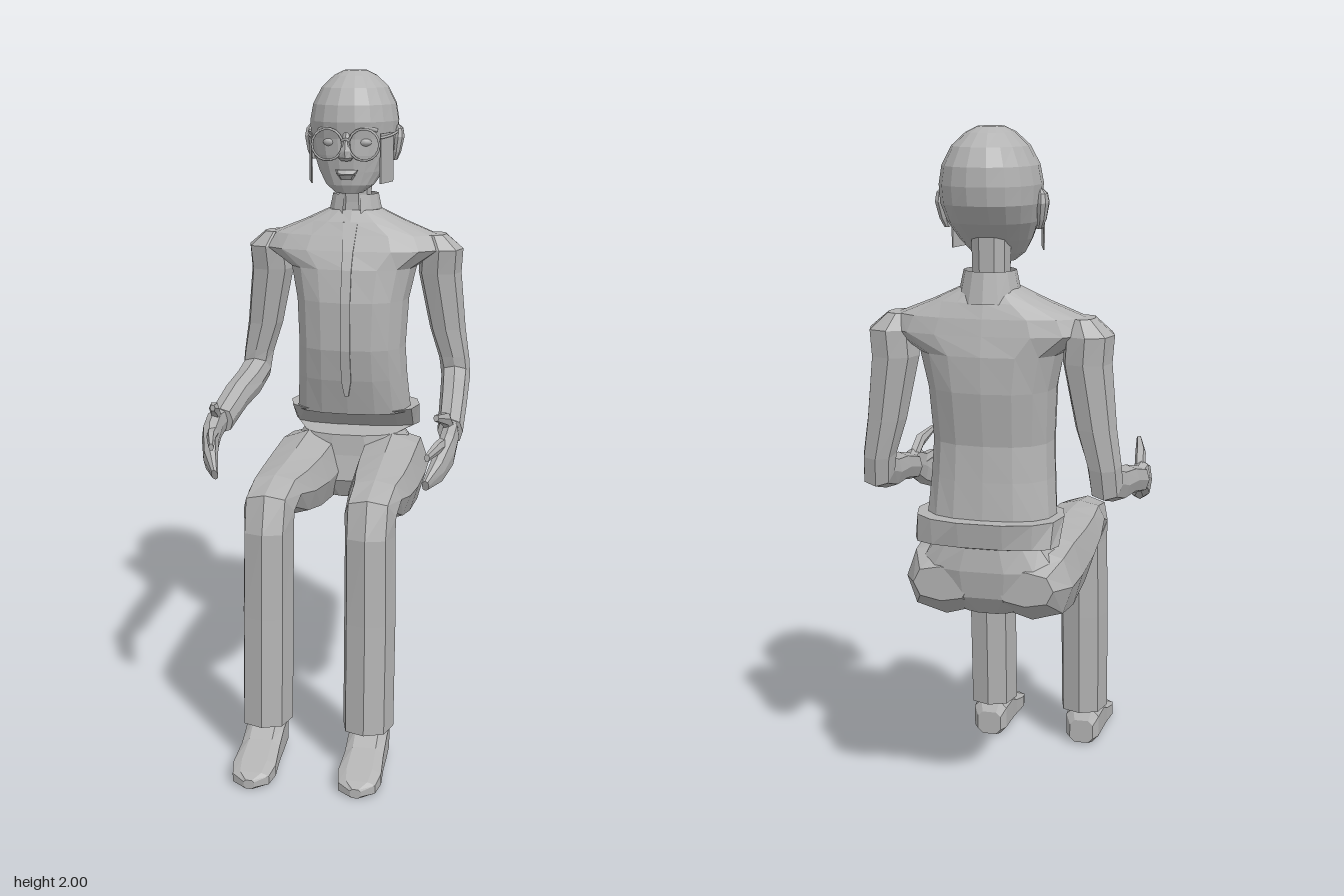
import * as THREE from 'three';

const cloth = new THREE.MeshStandardMaterial({ color: 0xb3b3b3 });
cloth.name = 'plain grey';
const sheet = cloth.clone();
sheet.name = 'plain grey sheet';
sheet.side = THREE.DoubleSide;

// Cross-section: squarish ellipse, rw across x and rd along a direction tilted from +z towards +y
function ring([x, y, z, rw, rd, tilt = 0], n, power, shift) {
  const t = THREE.MathUtils.degToRad(tilt);
  const bend = v => Math.sign(v) * Math.pow(Math.abs(v), power);
  return Array.from({ length: n }, (_, i) => {
    const a = ((i + shift) / n) * Math.PI * 2;
    const c = bend(Math.cos(a)) * rw, s = bend(Math.sin(a)) * rd;
    return new THREE.Vector3(x + c, y + s * Math.sin(t), z + s * Math.cos(t));
  });
}

// Closed, flat-shaded skin through a list of cross-sections
function loft(sections, { n = 8, power = 0.8, shift = 0 } = {}) {
  const rings = sections.map(s => ring(s, n, power, shift));
  const tris = [];
  for (let k = 0; k < rings.length - 1; k++) {
    for (let i = 0; i < n; i++) {
      const j = (i + 1) % n, a = rings[k], b = rings[k + 1];
      tris.push([a[i], b[i], b[j]], [a[i], b[j], a[j]]);
    }
  }
  [0, rings.length - 1].forEach((k, end) => {
    const mid = new THREE.Vector3(...sections[k].slice(0, 3));
    for (let i = 0; i < n; i++) {
      const p = rings[k][i], q = rings[k][(i + 1) % n];
      tris.push(end ? [mid, q, p] : [mid, p, q]);
    }
  });
  // Turn the skin outwards
  const origin = new THREE.Vector3(...sections[0].slice(0, 3));
  let volume = 0;
  for (const [a, b, c] of tris) {
    const u = b.clone().sub(origin).cross(c.clone().sub(origin));
    volume += a.clone().sub(origin).dot(u);
  }
  if (volume < 0) tris.forEach(t => t.reverse());
  const geo = new THREE.BufferGeometry().setFromPoints(tris.flat());
  geo.computeVertexNormals();
  return geo;
}

export function createModel() {
  const model = new THREE.Group();
  model.name = 'seatedMan';
  const add = (name, geo, mat = cloth) => {
    const mesh = new THREE.Mesh(geo, mat);
    mesh.name = name;
    model.add(mesh);
    return mesh;
  };
  const both = fn => [['left', 1], ['right', -1]].forEach(([side, s]) => fn(side, s));
  const flip = (s, list) => list.map(([x, ...rest]) => [x * s, ...rest]);
  const rod = (name, points, r) =>
    add(name, new THREE.TubeGeometry(new THREE.CatmullRomCurve3(points.map(p => new THREE.Vector3(...p))), 8, r, 5));

  // Head and neck
  add('head', loft([
    [0, 2.0, -0.355, 0.035, 0.05], [0, 1.985, -0.355, 0.065, 0.09], [0, 1.95, -0.355, 0.102, 0.135],
    [0, 1.9, -0.353, 0.128, 0.162], [0, 1.85, -0.35, 0.137, 0.168], [0, 1.8, -0.35, 0.134, 0.158],
    [0, 1.75, -0.33, 0.122, 0.138], [0, 1.7, -0.298, 0.1, 0.1], [0, 1.66, -0.27, 0.075, 0.068],
    [0, 1.635, -0.255, 0.042, 0.04],
  ], { n: 18, power: 0.92 }));
  add('neck', loft([
    [0, 1.5, -0.365, 0.06, 0.07], [0, 1.6, -0.355, 0.052, 0.055], [0, 1.75, -0.355, 0.055, 0.062],
  ], { n: 10 }));

  // Face
  add('nose', loft([
    [0, 1.82, -0.2, 0.01, 0.012], [0, 1.765, -0.188, 0.016, 0.022], [0, 1.745, -0.19, 0.024, 0.02],
    [0, 1.735, -0.196, 0.016, 0.012],
  ], { n: 6, shift: 0.5 }));
  add('upperLip', loft([[0, 1.708, -0.198, 0.035, 0.008], [0, 1.696, -0.196, 0.03, 0.016]], { n: 8 }));
  add('lowerLip', loft([[0, 1.693, -0.198, 0.028, 0.014], [0, 1.678, -0.202, 0.018, 0.008]], { n: 8 }));
  both((side, s) => {
    const eye = add(side + 'Eye', new THREE.SphereGeometry(0.022, 10, 6));
    eye.position.set(0.053 * s, 1.79, -0.213);
    eye.scale.set(1, 0.6, 0.7);
    rod(side + 'Brow', [[0.025 * s, 1.82, -0.196], [0.055 * s, 1.835, -0.204], [0.09 * s, 1.825, -0.222]], 0.006);
    add(side + 'Ear', loft(flip(s, [
      [0.128, 1.73, -0.335, 0.008, 0.012], [0.135, 1.755, -0.338, 0.012, 0.024],
      [0.141, 1.8, -0.345, 0.015, 0.034], [0.14, 1.825, -0.347, 0.012, 0.026], [0.134, 1.837, -0.347, 0.006, 0.01],
    ])));

    // Spectacles with square side guards
    const rim = add(side + 'Rim', new THREE.TorusGeometry(0.047, 0.004, 5, 18));
    rim.position.set(0.056 * s, 1.785, -0.181);
    rod(side + 'Temple', [[0.104 * s, 1.805, -0.182], [0.128 * s, 1.81, -0.26], [0.14 * s, 1.82, -0.345]], 0.004);
    const guard = add(side + 'Guard', new THREE.BoxGeometry(0.004, 0.15, 0.095));
    guard.position.set(0.117 * s, 1.743, -0.237);
    guard.rotation.y = -0.26 * s;
  });
  rod('bridge', [[-0.012, 1.795, -0.18], [0, 1.802, -0.176], [0.012, 1.795, -0.18]], 0.004);

  // Shirt
  add('shirt', loft([
    [0, 0.935, -0.355, 0.185, 0.12], [0, 1.05, -0.333, 0.175, 0.133], [0, 1.15, -0.32, 0.17, 0.14],
    [0, 1.3, -0.333, 0.178, 0.152], [0, 1.4, -0.344, 0.2, 0.143], [0, 1.455, -0.35, 0.285, 0.125],
    [0, 1.5, -0.357, 0.26, 0.108], [0, 1.54, -0.36, 0.16, 0.09], [0, 1.575, -0.362, 0.085, 0.066],
  ], { n: 16 }));
  add('placket', loft([
    [0, 1.0, -0.21, 0.008, 0.008], [0, 1.05, -0.2, 0.02, 0.006], [0, 1.15, -0.18, 0.02, 0.006],
    [0, 1.3, -0.181, 0.02, 0.006], [0, 1.4, -0.201, 0.02, 0.006], [0, 1.455, -0.225, 0.022, 0.006],
    [0, 1.54, -0.272, 0.03, 0.006],
  ], { n: 4, shift: 0.5 }));
  const collarGeo = new THREE.CylinderGeometry(0.072, 0.09, 0.085, 12, 1, true, 0.35, Math.PI * 2 - 0.7).toNonIndexed();
  collarGeo.computeVertexNormals();
  const collar = add('collar', collarGeo, sheet);
  collar.position.set(0, 1.58, -0.37);

  // Trouser seat with a waist that flares over the lap
  add('trouserSeat', loft([
    [0, 0.945, -0.375, 0.21, 0.14], [0, 0.872, -0.425, 0.205, 0.075], [0, 0.866, -0.36, 0.16, 0.125],
    [0, 0.8, -0.36, 0.21, 0.13], [0, 0.72, -0.345, 0.19, 0.13], [0, 0.66, -0.335, 0.09, 0.09],
  ], { n: 14 }));

  both((side, s) => {
    // Leg from hip over the knee to the hem
    add(side + 'TrouserLeg', loft(flip(s, [
      [0.12, 0.755, -0.475, 0.08, 0.05, 90], [0.125, 0.748, -0.4, 0.115, 0.105, 90],
      [0.135, 0.746, -0.28, 0.11, 0.121, 90], [0.14, 0.75, -0.1, 0.105, 0.104, 90],
      [0.145, 0.762, 0.04, 0.095, 0.084, 90], [0.15, 0.786, 0.16, 0.08, 0.055, 90],
      [0.15, 0.758, 0.24, 0.076, 0.085, 45], [0.15, 0.7, 0.243, 0.074, 0.095, 5],
      [0.152, 0.45, 0.252, 0.076, 0.092, 0], [0.152, 0.12, 0.268, 0.075, 0.092, 0],
    ])));

    // Shoe
    add(side + 'Shoe', loft(flip(s, [
      [0.155, 0.045, 0.2, 0.04, 0.04, 90], [0.155, 0.06, 0.22, 0.056, 0.06, 90],
      [0.155, 0.06, 0.3, 0.06, 0.06, 90], [0.155, 0.043, 0.36, 0.06, 0.043, 90],
      [0.155, 0.03, 0.44, 0.066, 0.03, 90], [0.155, 0.022, 0.49, 0.056, 0.022, 90],
      [0.155, 0.016, 0.515, 0.016, 0.014, 90],
    ]), { shift: 0.5, power: 0.6 }));

    // Sleeve from shoulder round the elbow to the cuff
    add(side + 'Sleeve', loft(flip(s, [
      [0.255, 1.5, -0.365, 0.035, 0.05], [0.275, 1.455, -0.367, 0.068, 0.08], [0.27, 1.38, -0.372, 0.068, 0.072],
      [0.297, 1.2, -0.378, 0.057, 0.055], [0.32, 1.1, -0.378, 0.048, 0.05, 15],
      [0.326, 1.045, -0.372, 0.046, 0.055, 45], [0.332, 1.018, -0.28, 0.044, 0.048, 75],
      [0.342, 1.0, -0.15, 0.042, 0.043, 85], [0.352, 0.96, 0.01, 0.038, 0.04, 80],
    ])));

    // Hand, with fingers held together, a raised forefinger and thumb
    add(side + 'Palm', loft(flip(s, [
      [0.352, 0.963, -0.01, 0.022, 0.032, 90], [0.358, 0.957, 0.06, 0.026, 0.048, 90],
      [0.355, 0.93, 0.125, 0.026, 0.055, 85], [0.335, 0.887, 0.2, 0.022, 0.04, 75],
      [0.31, 0.858, 0.25, 0.01, 0.018, 65],
    ])));
    add(side + 'Thumb', loft(flip(s, [
      [0.355, 0.975, 0.04, 0.016, 0.02, 90], [0.348, 1.02, 0.1, 0.016, 0.02, 100], [0.33, 1.042, 0.185, 0.008, 0.01, 90],
    ]), { n: 6 }));
    add(side + 'Forefinger', loft(flip(s, [
      [0.35, 0.95, 0.11, 0.018, 0.022, 90], [0.335, 0.955, 0.19, 0.014, 0.018, 90], [0.315, 0.945, 0.265, 0.008, 0.011, 90],
    ]), { n: 6 }));
  });

  return model;
}
